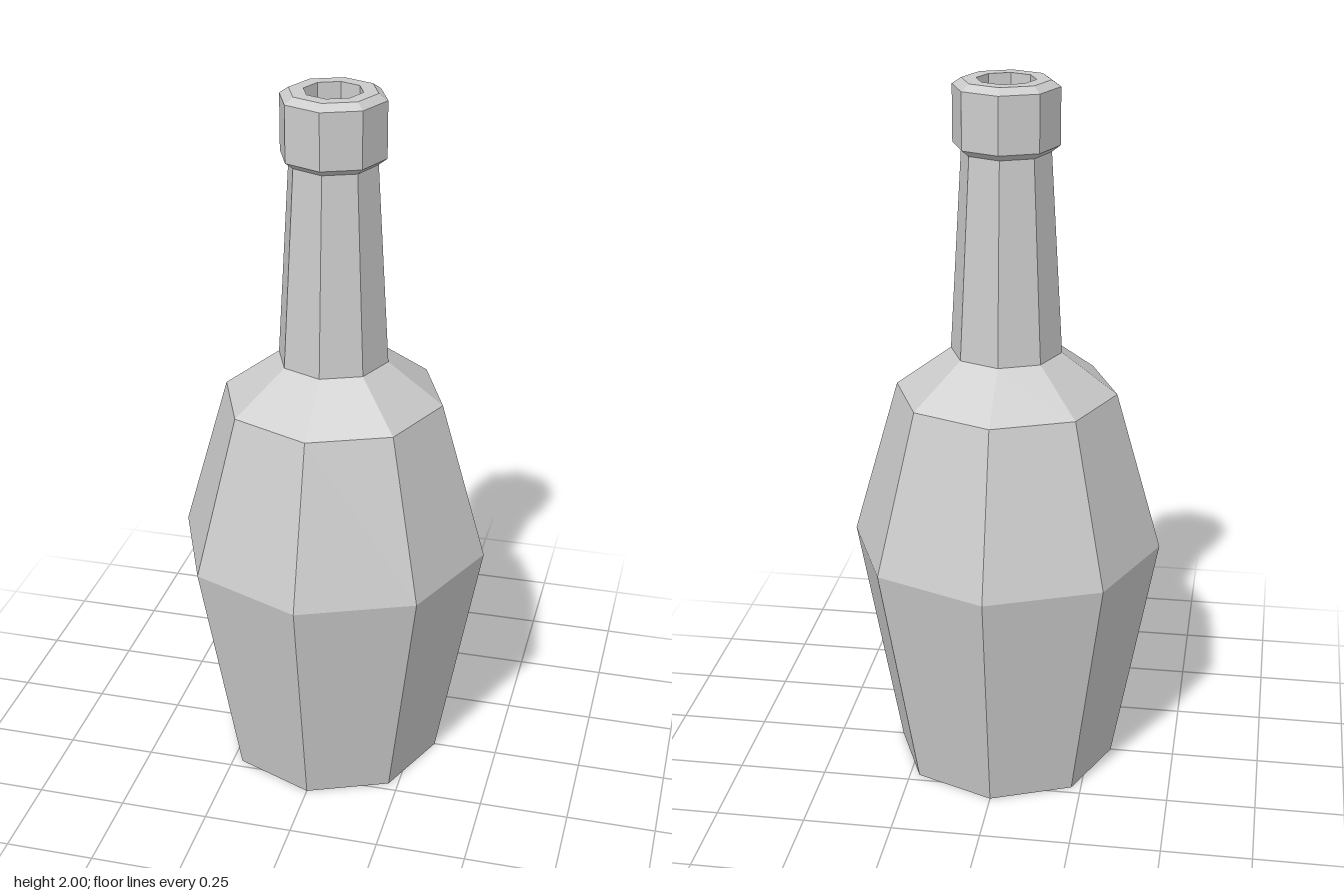
import * as THREE from 'three';

const SIDES = 8;

// Eight-sided faceted ring of surfaces from [radius, height] pairs, listed bottom to top
function turned(name, profile, material) {
  const points = profile.map(([r, y]) => new THREE.Vector2(r, y));
  const mesh = new THREE.Mesh(new THREE.LatheGeometry(points, SIDES), material);
  mesh.name = name;
  return mesh;
}

export function createModel() {
  const material = new THREE.MeshStandardMaterial({ color: 0xcccccc, flatShading: true });
  const bottle = new THREE.Group();
  bottle.name = 'bottle';

  // Closed base, flared belly and sloping shoulder
  bottle.add(turned('body', [[0, 0], [0.315, 0], [0.44, 0.68], [0.31, 1.135], [0.155, 1.25]], material));

  // Tapering neck
  bottle.add(turned('neck', [[0.155, 1.25], [0.122, 1.81]], material));

  // Chamfered lip, with the mouth sunk into it
  bottle.add(turned('lip', [
    [0.122, 1.81], [0.145, 1.828], [0.145, 1.983], [0.12, 2],
    [0.08, 2], [0.08, 1.83], [0, 1.83],
  ], material));

  return bottle;
}
